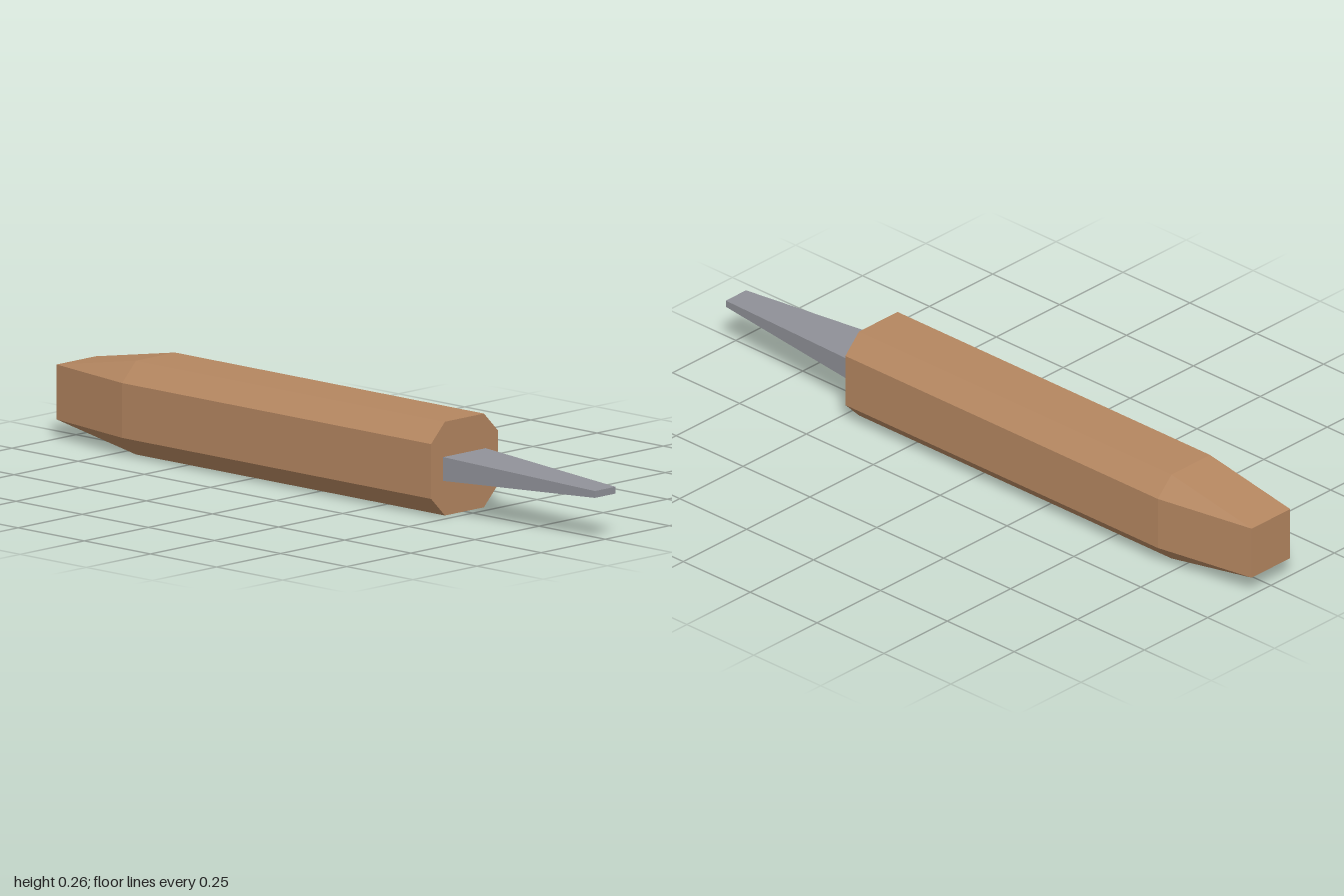
import * as THREE from 'three';

const CENTRE_Y = 0.13;

// Rectangle ring with cut corners, counter-clockwise seen from +z.
// A cut of 0 leaves doubled corners, so chamfers can taper to a point.
function ring(halfW, halfH, cut, z) {
  const x = halfW - cut, y = halfH - cut;
  return [
    [halfW, -y], [halfW, y], [x, halfH], [-x, halfH],
    [-halfW, y], [-halfW, -y], [-x, -halfH], [x, -halfH],
  ].map(([px, py]) => new THREE.Vector3(px, py + CENTRE_Y, z));
}

// Faceted solid through rings ordered from back to front, capped at both ends.
function loft(rings) {
  const points = [];
  const tri = (a, b, c) => {
    if (new THREE.Triangle(a, b, c).getArea() > 1e-7) points.push(a, b, c);
  };
  for (let s = 0; s < rings.length - 1; s++) {
    const back = rings[s], front = rings[s + 1];
    for (let i = 0; i < 8; i++) {
      const j = (i + 1) % 8;
      tri(back[i], back[j], front[j]);
      tri(back[i], front[j], front[i]);
    }
  }
  const first = rings[0], last = rings[rings.length - 1];
  for (let i = 1; i < 7; i++) {
    tri(first[0], first[i + 1], first[i]);
    tri(last[0], last[i], last[i + 1]);
  }
  const geometry = new THREE.BufferGeometry().setFromPoints(points);
  geometry.computeVertexNormals();
  return geometry;
}

export function createModel() {
  const wood = new THREE.MeshStandardMaterial({ color: 0xb48660 });
  wood.name = 'wood';
  const steel = new THREE.MeshStandardMaterial({ color: 0x909198 });
  steel.name = 'steel';

  const model = new THREE.Group();
  model.name = 'chisel';

  // Chamfered handle, narrowing to a square butt
  const handle = new THREE.Mesh(loft([
    ring(0.076, 0.076, 0, -1),
    ring(0.13, 0.13, 0.054, -0.7),
    ring(0.13, 0.13, 0.054, 0.468),
  ]), wood);
  handle.name = 'handle';

  // Flat blade tapering towards the tip
  const blade = new THREE.Mesh(loft([
    ring(0.083, 0.033, 0, 0.468),
    ring(0.04, 0.0095, 0, 1),
  ]), steel);
  blade.name = 'blade';

  model.add(handle, blade);
  return model;
}
